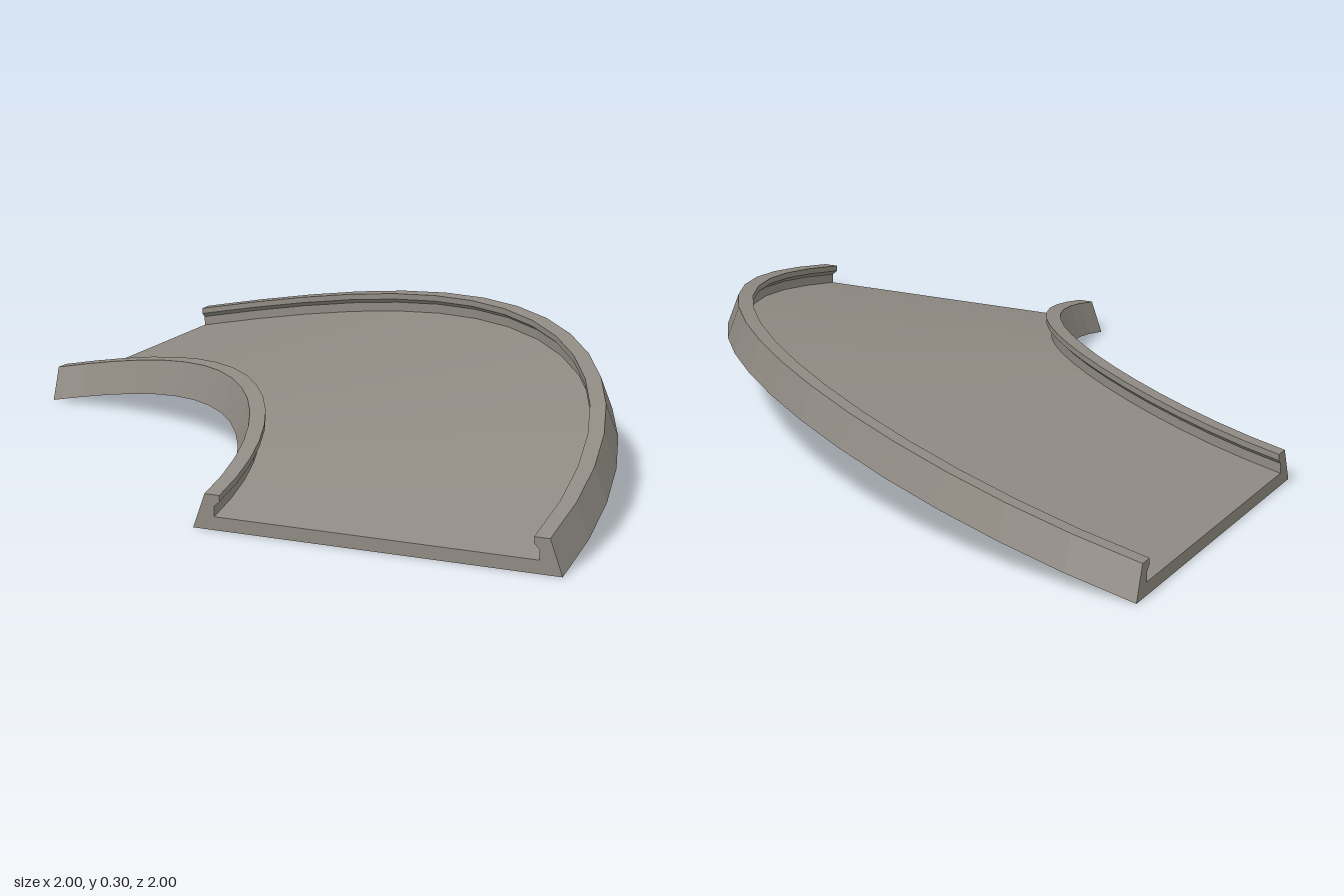
import * as THREE from 'three';

const SEGMENTS = 16;
const BANK = 0.105; // rise per unit of radius at the middle of the bend

// Point of the bend: radius r, height y above the underside, angle t
function bendPoint(r, y, t) {
  return [-1 + r * Math.cos(t), y + BANK * r * Math.sin(2 * t), 1 - r * Math.sin(t)];
}

// Sweep a counter-clockwise [radius, height] section round the quarter bend.
// Edges listed in hidden touch a neighbouring part and are left out.
function sweep(section, hidden) {
  const positions = [];
  const tri = (a, b, c) => positions.push(...a, ...b, ...c);
  const at = (i, s) => bendPoint(...section[i % section.length], (s / SEGMENTS) * Math.PI / 2);

  for (let s = 0; s < SEGMENTS; s++) {
    for (let i = 0; i < section.length; i++) {
      if (hidden.includes(i)) continue;
      const a0 = at(i, s), b0 = at(i + 1, s), a1 = at(i, s + 1), b1 = at(i + 1, s + 1);
      tri(a0, a1, b1);
      tri(a0, b1, b0);
    }
  }
  // End caps
  const contour = section.map(([r, y]) => new THREE.Vector2(r, y));
  for (const [a, b, c] of THREE.ShapeUtils.triangulateShape(contour, [])) {
    tri(at(a, 0), at(b, 0), at(c, 0));
    tri(at(c, SEGMENTS), at(b, SEGMENTS), at(a, SEGMENTS));
  }
  const geometry = new THREE.BufferGeometry();
  geometry.setAttribute('position', new THREE.Float32BufferAttribute(positions, 3));
  geometry.computeVertexNormals();
  return geometry;
}

export function createModel() {
  const group = new THREE.Group();
  group.name = 'bankedCurveTrack';

  const stone = new THREE.MeshStandardMaterial({ color: 0x8f8a82 });
  stone.name = 'warmGrey';
  stone.flatShading = true;

  const add = (name, section, hidden) => {
    const mesh = new THREE.Mesh(sweep(section, hidden), stone);
    mesh.name = name;
    group.add(mesh);
  };

  // Banked running surface between the rails
  add('deck', [[1.06, 0], [1.94, 0], [1.94, 0.035], [1.06, 0.035]], [1, 3]);

  // Rail section: sloping outer face, flat top, lip overhanging the deck
  const outerRail = [
    [1.94, 0], [2, 0], [1.967, 0.092], [1.925, 0.092],
    [1.925, 0.075], [1.94, 0.062], [1.94, 0.035],
  ];
  add('outerRail', outerRail, [6]);

  // Mirrored rail on the inside of the bend
  const innerRail = outerRail.map(([r, y]) => [3 - r, y]).reverse();
  add('innerRail', innerRail, [6]);

  return group;
}
